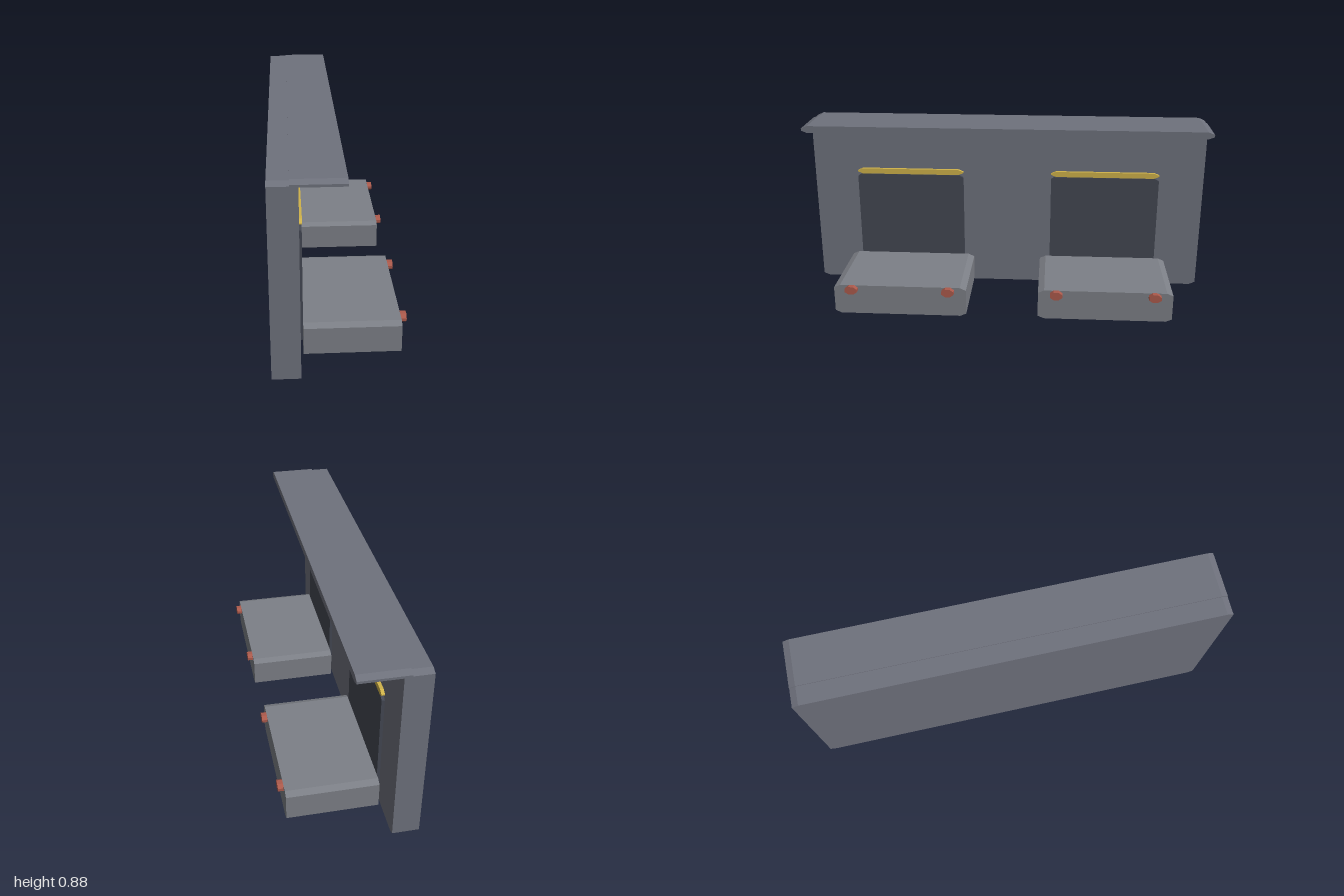
import * as THREE from 'three';

const paint = (color) => new THREE.MeshStandardMaterial({ color, flatShading: true });

// Slab extruded along x, its z-y outline cut at the four corners
function slab(name, material, [x0, x1], [y0, y1], [z0, z1], cutZ, cutY) {
  const shape = new THREE.Shape([
    [z0 + cutZ, y0], [z1 - cutZ, y0], [z1, y0 + cutY], [z1, y1 - cutY],
    [z1 - cutZ, y1], [z0 + cutZ, y1], [z0, y1 - cutY], [z0, y0 + cutY],
  ].map(([z, y]) => new THREE.Vector2(-z, y)));
  const geometry = new THREE.ExtrudeGeometry(shape, { depth: x1 - x0, bevelEnabled: false });
  geometry.rotateY(Math.PI / 2); // outline x becomes -z, depth becomes +x
  geometry.translate(x0, 0, 0);
  const mesh = new THREE.Mesh(geometry, material);
  mesh.name = name;
  return mesh;
}

export function createModel() {
  const model = new THREE.Group();
  model.name = 'loadingDock';
  const wallGrey = paint(0x6f727d);
  const platformGrey = paint(0x7d8087);
  const doorGrey = paint(0x444853);
  const yellow = paint(0xd0b34a);
  const red = paint(0xac5a4c);

  // Wall and overhanging canopy
  model.add(slab('wall', wallGrey, [-0.293, -0.171], [0, 0.877], [-1, 1], 0.03, 0.013));
  model.add(slab('canopy', wallGrey, [-0.205, 0.016], [0.847, 0.882], [-1, 1], 0.03, 0.012));

  // Two bays, each with a door, light bar, platform and two bumpers
  for (const z of [-0.5, 0.5]) {
    const bay = new THREE.Group();
    bay.name = z > 0 ? 'frontBay' : 'backBay';
    bay.position.z = z;
    bay.add(slab('door', doorGrey, [-0.172, -0.157], [0.038, 0.588], [-0.274, 0.274], 0.02, 0.013));
    bay.add(slab('doorBar', yellow, [-0.172, -0.155], [0.59, 0.617], [-0.274, 0.274], 0.025, 0.011));
    bay.add(slab('platform', platformGrey, [-0.157, 0.265], [0, 0.15], [-0.325, 0.325], 0.03, 0.013));
    for (const side of [-1, 1]) {
      const c = side * 0.237;
      bay.add(slab('bumper', red, [0.265, 0.291], [0.112, 0.152], [c - 0.03, c + 0.03], 0.018, 0.013));
    }
    model.add(bay);
  }
  return model;
}
